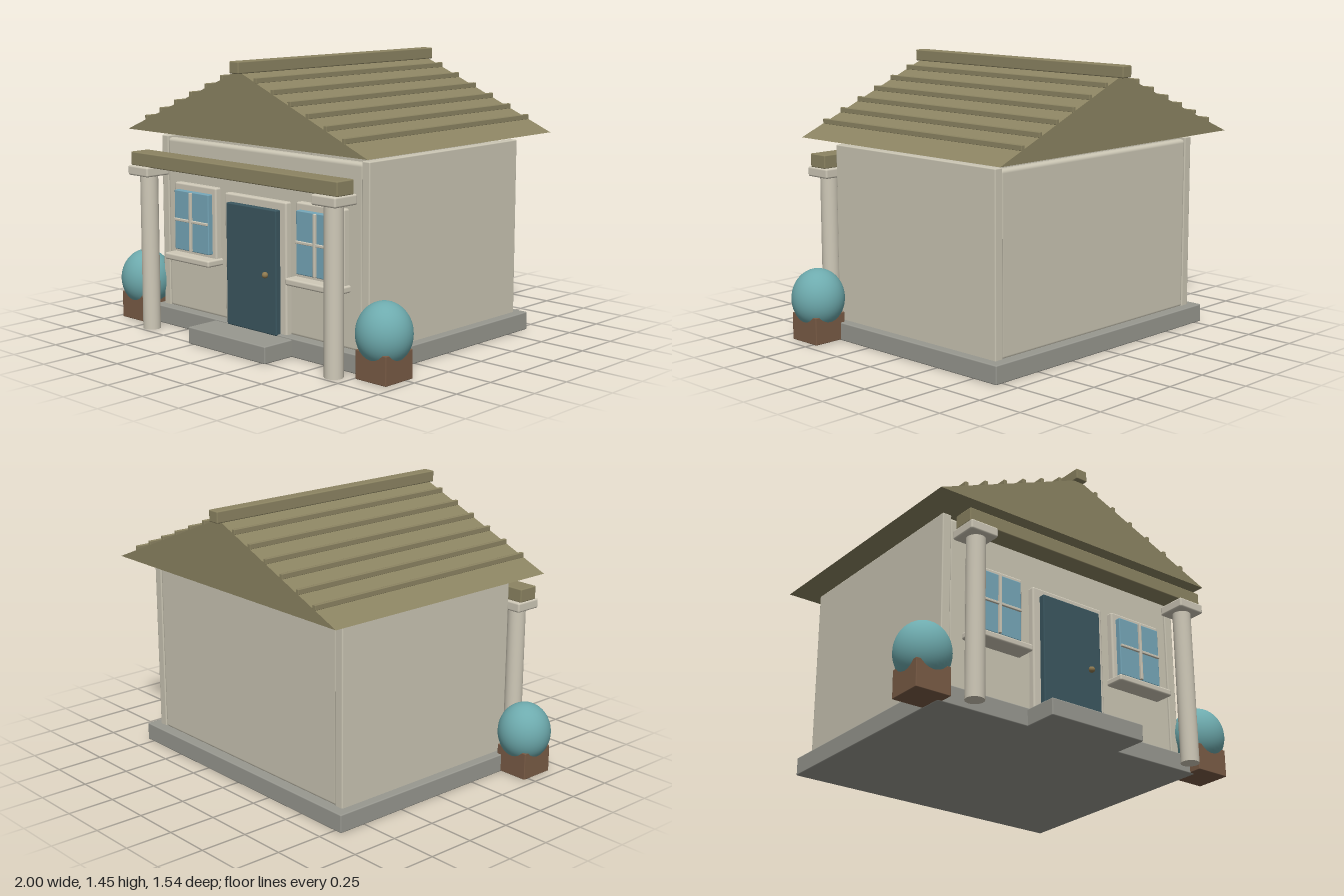
import * as THREE from 'three';
import { RoundedBoxGeometry } from 'three/addons/geometries/RoundedBoxGeometry.js';

const paint = (name, color) => {
  const m = new THREE.MeshStandardMaterial({ color });
  m.name = name;
  return m;
};

export function createModel() {
  const wall = paint('cream wall', 0xcbc6b4);
  const trim = paint('pale trim', 0xcfc9b8);
  const roofing = paint('olive roofing', 0x8c8462);
  const stone = paint('grey stone', 0x989890);
  const doorBlue = paint('dark teal door', 0x3b5760);
  const glass = paint('blue glass', 0x76a7b9);
  const terracotta = paint('brown planter', 0x7a5c46);
  const leaf = paint('teal foliage', 0x6eabae);
  const brass = paint('brass', 0x8f7a50);

  const model = new THREE.Group();
  model.name = 'cottage';

  const add = (name, geometry, material, x = 0, y = 0, z = 0, parent = model) => {
    const mesh = new THREE.Mesh(geometry, material);
    mesh.name = name;
    mesh.position.set(x, y, z);
    parent.add(mesh);
    return mesh;
  };
  // Softly rounded box given by its extents on each axis
  const box = (name, material, [x0, x1], [y0, y1], [z0, z1], r = 0.006, parent = model) =>
    add(name, new RoundedBoxGeometry(x1 - x0, y1 - y0, z1 - z0, 2, r), material,
      (x0 + x1) / 2, (y0 + y1) / 2, (z0 + z1) / 2, parent);

  // Foundation and doorstep
  box('foundation', stone, [-0.795, 0.795], [0, 0.095], [-0.655, 0.585]);
  box('doorstep', stone, [-0.28, 0.28], [0, 0.088], [0.5, 0.768]);

  // Walls: side slabs run full depth, front and back sit between them
  box('frontWall', wall, [-0.705, 0.705], [0.085, 1.0], [0.475, 0.528], 0.02);
  box('backWall', wall, [-0.705, 0.705], [0.085, 1.0], [-0.598, -0.545], 0.02);
  for (const s of [-1, 1]) {
    box('sideWall', wall, [s * 0.72 - 0.025, s * 0.72 + 0.025], [0.085, 1.01], [-0.602, 0.532]);
  }

  // Gabled roof as a solid prism
  const eave = 1.045, peak = 1.398, half = 0.855, zBack = -0.74, zFront = 0.668;
  const gable = new THREE.Shape([
    new THREE.Vector2(-half, eave), new THREE.Vector2(half, eave), new THREE.Vector2(0, peak),
  ]);
  add('roof', new THREE.ExtrudeGeometry(gable, { depth: zFront - zBack, bevelEnabled: false }),
    roofing, 0, 0, zBack);
  box('ridgeCap', roofing, [-0.033, 0.033], [1.385, 1.445], [-0.768, 0.695]);

  // Raised seams along both slopes
  for (const s of [-1, 1]) {
    for (let i = 0; i < 6; i++) {
      const x = 0.12 + i * 0.117;
      const y = peak - (peak - eave) * x / half;
      box('roofSeam', roofing, [s * x - 0.01, s * x + 0.01], [y - 0.005, y + 0.022],
        [zBack, zFront], 0.003);
    }
  }

  // Porch beam on two columns
  box('porchBeam', roofing, [-0.74, 0.74], [0.87, 0.942], [0.632, 0.746]);
  for (const s of [-1, 1]) {
    add('porchColumn', new THREE.CylinderGeometry(0.047, 0.047, 0.83, 32), trim, s * 0.665, 0.415, 0.689);
    box('columnCapital', trim, [s * 0.667 - 0.078, s * 0.667 + 0.078], [0.82, 0.872], [0.613, 0.765], 0.01);
  }

  // Door with surround and knob
  const door = new THREE.Group();
  door.name = 'frontDoor';
  model.add(door);
  box('doorSurround', trim, [-0.222, 0.222], [0.085, 0.762], [0.515, 0.562], 0.01, door);
  box('doorPanel', doorBlue, [-0.18, 0.18], [0.088, 0.72], [0.54, 0.592], 0.006, door);
  add('doorKnob', new THREE.SphereGeometry(0.016, 20, 14), brass, 0.112, 0.39, 0.602, door);

  for (const s of [-1, 1]) {
    // Window with frame, pane, glazing bars and sill
    const cx = s * 0.45;
    const span = (w, c = cx) => [c - w / 2, c + w / 2];
    const win = new THREE.Group();
    win.name = 'window';
    model.add(win);
    box('windowFrame', trim, span(0.32), [0.39, 0.775], [0.515, 0.562], 0.01, win);
    box('windowPane', glass, span(0.264), [0.425, 0.74], [0.55, 0.59], 0.005, win);
    box('verticalBar', trim, span(0.015), [0.428, 0.737], [0.582, 0.603], 0.003, win);
    box('horizontalBar', trim, span(0.258), [0.578, 0.592], [0.582, 0.6], 0.003, win);
    box('windowSill', trim, span(0.345), [0.37, 0.406], [0.515, 0.63], 0.01, win);

    // Potted shrub
    const px = s * 0.863, pz = 0.557;
    box('planter', terracotta, span(0.19, px), [0.004, 0.147], span(0.19, pz), 0.004);
    add('shrub', new THREE.SphereGeometry(0.137, 40, 28), leaf, px, 0.222, pz).scale.y = 1.13;
  }

  return model;
}
